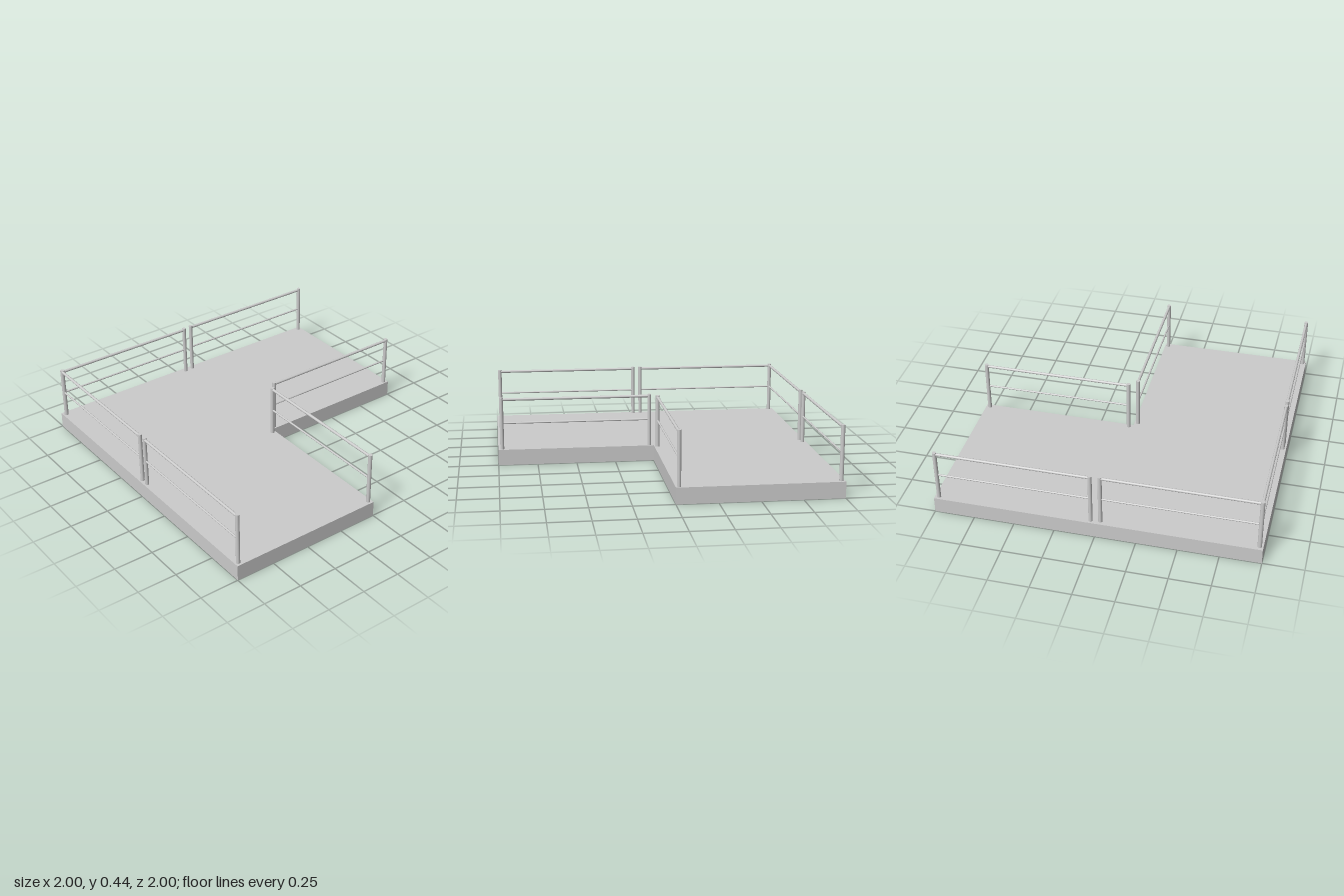
import * as THREE from 'three';

const DECK = 0.1, SPAN = 0.947;
const solid = new THREE.MeshStandardMaterial({ color: 0xcccccc });
const sheet = new THREE.MeshStandardMaterial({ color: 0xcccccc, side: THREE.DoubleSide });

// Deck tile: thin-walled tray, open underneath
function deckTile(x, z) {
  const geo = new THREE.BoxGeometry(1, DECK, 1);
  const index = Array.from(geo.index.array);
  index.splice(18, 6); // drop the bottom face
  geo.setIndex(index);
  geo.clearGroups();
  const mesh = new THREE.Mesh(geo, sheet);
  mesh.name = 'deckTile';
  mesh.position.set(x, DECK / 2, z);
  return mesh;
}

function bar(name, radius, length) {
  const mesh = new THREE.Mesh(new THREE.CylinderGeometry(radius, radius, length, 16), solid);
  mesh.name = name;
  return mesh;
}

// Railing: two posts, a top rail and a thinner middle rail, centred at x, z
function railing(name, x, z, alongZ) {
  const group = new THREE.Group();
  group.name = name;
  for (const side of [-1, 1]) {
    const post = bar('post', 0.0125, 0.337);
    post.position.set(side * SPAN / 2, 0.2665, 0);
    group.add(post);
  }
  for (const [part, radius, y] of [['topRail', 0.009, 0.423], ['middleRail', 0.006, 0.27]]) {
    const rail = bar(part, radius, SPAN);
    rail.rotation.z = Math.PI / 2;
    rail.position.y = y;
    group.add(rail);
  }
  group.position.set(x, 0, z);
  if (alongZ) group.rotation.y = Math.PI / 2;
  return group;
}

export function createModel() {
  const model = new THREE.Group();
  model.name = 'cornerPlatform';

  // L-shaped deck of three tiles
  for (const [x, z] of [[-0.5, -0.5], [-0.5, 0.5], [0.5, 0.5]]) model.add(deckTile(x, z));

  // Railings around the edges
  model.add(
    railing('frontRightRailing', -0.497, 0.978, false),
    railing('frontLeftRailing', 0.501, 0.978, false),
    railing('rightFrontRailing', -0.97, 0.503, true),
    railing('rightBackRailing', -0.976, -0.502, true),
    railing('notchSideRailing', -0.021, -0.502, true),
    railing('notchBackRailing', 0.501, 0.022, false),
  );
  return model;
}
